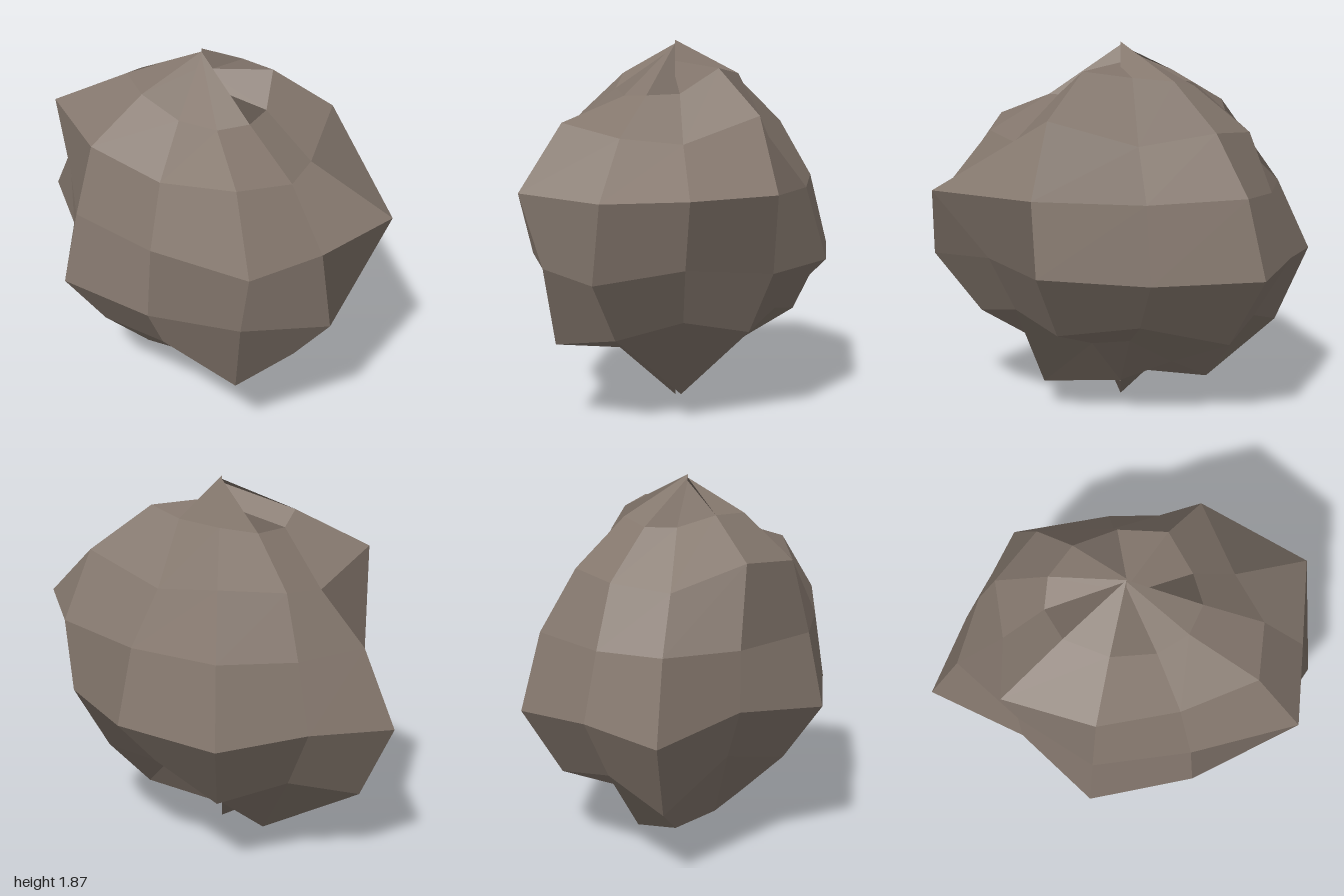
import * as THREE from 'three';

// Boulder: a coarse 11 x 7 sphere squashed into an ellipsoid, each corner pushed in or out
const COLUMNS = 11;
const RINGS = 7;
const RADIUS = new THREE.Vector3(1, 0.85, 0.77);
const CENTRE = new THREE.Vector3(0.02, 0.957, 0);

// Push factor of each corner, ring by ring from the top; columns run from +x towards -z.
// The pole rows hold one height per column, so the tips are stepped and split.
const PUSH = [
  [1.05, 0.85, 0.945, 0.92, 1.07, 1.05, 0.9, 1.03, 1.05, 0.955, 1.03],
  [0.84, 0.85, 1.01, 0.97, 0.94, 0.9, 0.91, 0.98, 0.965, 0.87, 0.83],
  [0.86, 0.8, 1.05, 0.8, 0.91, 0.87, 0.79, 1.09, 0.99, 0.87, 0.98],
  [0.92, 1.11, 1.02, 0.9, 0.96, 0.82, 0.9, 0.805, 0.92, 0.865, 1.065],
  [1.0, 0.8, 0.98, 1.04, 1.09, 0.93, 1.09, 0.805, 1.03, 0.93, 0.92],
  [0.94, 0.81, 0.945, 0.87, 1.05, 0.92, 1.12, 0.79, 0.935, 0.87, 1.05],
  [0.9, 1.08, 0.8, 0.78, 0.93, 1.08, 1.07, 1.0, 0.955, 0.88, 0.84],
  [1.04, 1.04, 1.04, 1.04, 0.96, 0.96, 0.96, 1.125, 1.125, 1.05, 1.04],
];

function corner(column, ring) {
  const c = column % COLUMNS;
  const around = (c / COLUMNS) * Math.PI * 2;
  const down = (ring / RINGS) * Math.PI;
  return new THREE.Vector3(
    Math.sin(down) * Math.cos(around),
    Math.cos(down),
    -Math.sin(down) * Math.sin(around)
  ).multiply(RADIUS).multiplyScalar(PUSH[ring][c]).add(CENTRE);
}

function boulderGeometry() {
  const points = [];
  const normals = [];
  for (let ring = 0; ring < RINGS; ring++) {
    for (let col = 0; col < COLUMNS; col++) {
      const upperLeft = corner(col, ring);
      const upperRight = corner(col + 1, ring);
      const lowerLeft = corner(col, ring + 1);
      const lowerRight = corner(col + 1, ring + 1);
      points.push(upperLeft, lowerLeft, upperRight, upperRight, lowerLeft, lowerRight);

      // One flat normal for the whole four-sided facet
      const normal = lowerRight.clone().sub(upperLeft)
        .cross(upperRight.clone().sub(lowerLeft)).normalize();
      for (let i = 0; i < 6; i++) normals.push(...normal.toArray());
    }
  }
  const geometry = new THREE.BufferGeometry().setFromPoints(points);
  geometry.setAttribute('normal', new THREE.Float32BufferAttribute(normals, 3));
  return geometry;
}

export function createModel() {
  const stone = new THREE.MeshStandardMaterial({ color: 0x84776d });
  stone.name = 'stone';

  const boulder = new THREE.Mesh(boulderGeometry(), stone);
  boulder.name = 'boulder';

  const model = new THREE.Group();
  model.name = 'rock';
  model.add(boulder);
  return model;
}
